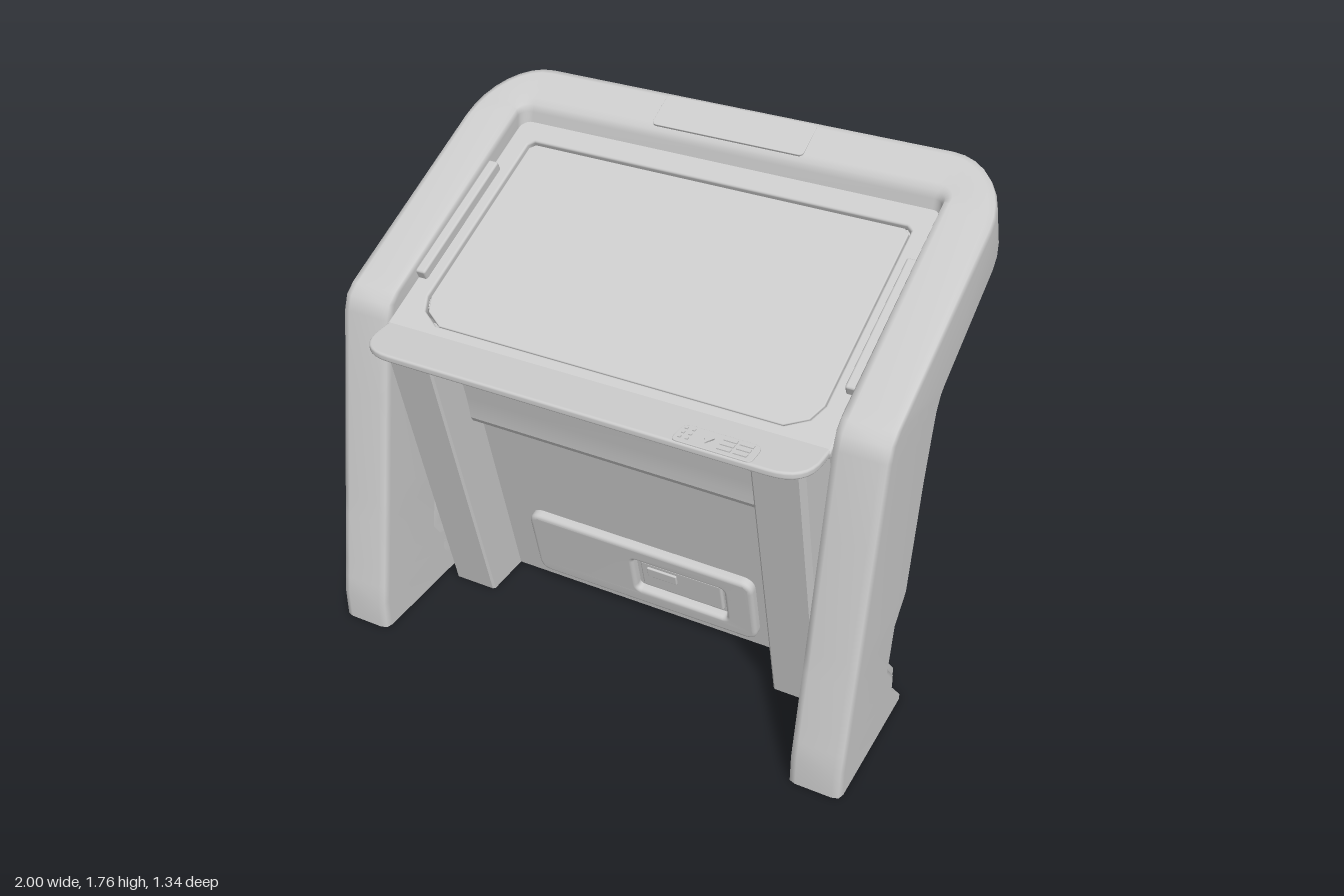
import * as THREE from 'three';
import { toCreasedNormals, mergeVertices } from 'three/addons/utils/BufferGeometryUtils.js';
import { RoundedBoxGeometry } from 'three/addons/geometries/RoundedBoxGeometry.js';

// The housing is a shell open underneath, so both sides show
const material = new THREE.MeshStandardMaterial({ color: 0xcccccc, side: THREE.DoubleSide });

function add(parent, name, geometry, x = 0, y = 0, z = 0) {
  const mesh = new THREE.Mesh(geometry, material);
  mesh.name = name;
  mesh.position.set(x, y, z);
  parent.add(mesh);
  return mesh;
}

function tilted(parent, name, position, rx) {
  const group = new THREE.Group();
  group.name = name;
  group.position.set(...position);
  group.rotation.x = rx;
  parent.add(group);
  return group;
}

const V = (x, y, z) => new THREE.Vector3(x, y, z);
const polygon = (pts) => new THREE.Shape(pts.map(([x, y]) => new THREE.Vector2(x, y)));

// Rounded rectangle; the lower corners may have another radius
function roundRect(x0, y0, x1, y1, r, low = r) {
  const s = new THREE.Shape();
  s.moveTo(x0 + low, y0);
  s.lineTo(x1 - low, y0);
  s.quadraticCurveTo(x1, y0, x1, y0 + low);
  s.lineTo(x1, y1 - r);
  s.quadraticCurveTo(x1, y1, x1 - r, y1);
  s.lineTo(x0 + r, y1);
  s.quadraticCurveTo(x0, y1, x0, y1 - r);
  s.lineTo(x0, y0 + low);
  s.quadraticCurveTo(x0, y0, x0 + low, y0);
  return s;
}

// Plate whose outer face lies at local z = 0; area-weighted normals keep the faces flat
function plate(shape, thickness, bevel) {
  const g = new THREE.ExtrudeGeometry(shape, {
    depth: thickness - 2 * bevel, bevelEnabled: true, bevelThickness: bevel,
    bevelSize: bevel, bevelOffset: -bevel, bevelSegments: 4, curveSegments: 8,
  });
  g.deleteAttribute('normal');
  g.deleteAttribute('uv');
  const merged = mergeVertices(g.translate(0, 0, bevel - thickness));
  merged.computeVertexNormals();
  return merged;
}

// Side profile of (z, y) points extruded from x0 to x1
function sideExtrude(pts, x0, x1) {
  const g = new THREE.ExtrudeGeometry(polygon(pts.map(([z, y]) => [-z, y])), { depth: x1 - x0, bevelEnabled: false });
  return toCreasedNormals(g.rotateY(Math.PI / 2).translate(x0, 0, 0), 0.4);
}

// Soften the four corners of a cross-section
function softRing(corners, r) {
  const out = [];
  corners.forEach((p, i) => {
    const a = p.clone().add(corners[(i + 3) % 4].clone().sub(p).setLength(r));
    const b = p.clone().add(corners[(i + 1) % 4].clone().sub(p).setLength(r));
    const m = a.clone().add(b).multiplyScalar(0.25).addScaledVector(p, 0.5);
    out.push(a, m, b);
  });
  return out;
}

// Skin a series of cross-sections, with an optional flat cap on the last
function loft(rings, capped = false) {
  const n = rings[0].length, count = rings.length, index = [];
  for (let i = 0; i < count - 1; i++) {
    for (let j = 0; j < n; j++) {
      const k = (j + 1) % n, a = i * n + j, b = i * n + k, c = b + n, d = a + n;
      index.push(a, d, c, a, c, b);
    }
  }
  const cap = count * n;
  if (capped) for (let j = 1; j < n - 1; j++) index.push(cap, cap + j + 1, cap + j);
  const g = new THREE.BufferGeometry().setFromPoints([...rings.flat(), ...(capped ? rings[count - 1] : [])]);
  g.setIndex(index);
  g.computeVertexNormals();
  return g;
}

const topY = (z) => 1.3 - 0.46 * (z - 0.42);
const underY = (z) => 1.23 - 0.512 * (z + 0.03);

// Front edge, rear seam and trim edge of a leg, from foot to shoulder, as (z, y)
const legStations = [
  [0.67, 0, 0.1, 0, 0.033, 0],
  [0.67, 0.11, 0.2, 0.115, 0.033, 0.04],
  [0.658, 0.18, 0.2, 0.17, 0.11, 0.13],
  [0.645, 0.255, 0.27, 0.255, 0.2, 0.245],
  [0.613, 0.44, 0.237, 0.44, 0.165, 0.44],
  [0.599, 0.525, 0.153, 0.525, 0.14, 0.525],
  [0.53, 0.93, 0.085, 0.93, 0.065, 0.93],
  [0.48, 1.22, 0.05, 1.08, 0.03, 1.08],
  [0.46, 1.27, 0.03, 1.16, 0.01, 1.15],
  [0.42, 1.3, 0, 1.21, -0.02, 1.19],
  [0.36, 1.328, -0.03, 1.23, -0.05, 1.215],
];

// Arch from one foot over the top to the other; the trim is its inset lip
function arch(isTrim) {
  const outer = isTrim ? 0.94 : 1, inner = 0.81, r = isTrim ? 0.008 : 0.03;
  const corners = legStations.map(([fz, fy, bz, by, tz, ty]) => {
    const f = isTrim ? [fz + (bz - fz) * 0.8, fy + (by - fy) * 0.8] : [fz, fy];
    const b = isTrim ? [tz, ty] : [bz, by];
    return [V(outer, f[1], f[0]), V(inner, f[1], f[0]), V(inner, b[1], b[0]), V(outer, b[1], b[0])];
  });
  const rx = outer - 0.77, rz = isTrim ? 0.2 : 0.268;
  const top = isTrim ? (z) => underY(z - 0.09) + 0.05 : topY;
  const low = (z) => underY(z) - (isTrim ? 0.022 : 0);
  const shift = isTrim ? 0.09 : 0;
  for (let i = 0; i <= 8; i++) {
    const t = (i / 8) * Math.PI / 2, c = Math.cos(t), s = Math.sin(t);
    const xo = 0.77 + rx * c, zo = -0.32 - rz * s;
    const xi = 0.77 + 0.04 * c, zi = -0.39 - 0.04 * s;
    corners.push([V(xo, top(zo), zo - shift), V(xi, top(zi) - 0.012 * s, zi - shift * 0.2),
      V(xi, low(zi + 0.03), zi + 0.03), V(xo, low(zo - 0.09), zo - 0.09)]);
  }
  const half = corners.map((c) => softRing(c, r));
  const mirrored = half.map((ring) => ring.map((p) => V(-p.x, p.y, p.z))).reverse();
  return loft([...half, ...mirrored]);
}

// Rear cover: rounded edge, flat border, then a shallow recessed field
function rearCover() {
  const ring = (inset, z, x, y0, y1, r) => roundRect(-x + inset, y0 + inset, x - inset, y1 - inset, r)
    .getPoints(8).slice(0, -1).reverse().map((p) => V(p.x, p.y, z));
  const R = 0.05, rings = [ring(0, -0.08, 0.81, -0.05, 1.47, 0.02)];
  for (let i = 0; i <= 4; i++) {
    const a = (i / 4) * Math.PI / 2;
    rings.push(ring(R * (1 - Math.cos(a)), -R * (1 - Math.sin(a)), 0.81, -0.05, 1.47, 0.02));
  }
  for (const [inset, z] of [[0, 0], [0.01, -0.004], [0.02, -0.016], [0.025, -0.02]]) rings.push(ring(inset, z, 0.61, 0.31, 1.2, 0.06));
  const g = loft(rings, true).rotateY(Math.PI).rotateX(-0.21).translate(0, 0, -0.11);
  const p = g.attributes.position;
  for (let i = 0; i < p.count; i++) p.setY(i, Math.max(0, p.getY(i)));
  return g;
}

export function createModel() {
  const model = new THREE.Group();
  model.name = 'console';

  // Outer arch, its trim and the flush button on the crossbar
  add(model, 'archFrame', arch(false));
  add(model, 'archTrim', toCreasedNormals(arch(true), 0.5));
  const button = tilted(model, 'crossbarButton', [0, topY(-0.507) - 0.002, -0.507], Math.atan(0.5) - Math.PI / 2);
  add(button, 'buttonFace', plate(roundRect(-0.29, -0.07, 0.29, 0.07, 0.02), 0.02, 0.002));

  // Body between the legs, with an overhanging upper front
  const body = [[V(0.81, 0, 0.1), V(-0.81, 0, 0.1), V(-0.81, 0, -0.059), V(0.81, 0, -0.059)],
    [V(0.81, 1.2, 0.388), V(-0.81, 1.2, 0.388), V(-0.81, 1.46, -0.37), V(0.81, 1.46, -0.37)]];
  add(model, 'body', toCreasedNormals(loft(body), 0.4));
  add(model, 'upperFront', sideExtrude([[0.25, 0.81], [0.345, 0.81], [0.357, 0.83], [0.362, 0.87],
    [0.372, 0.92], [0.44, 1.195], [0.3, 1.195]], -0.6, 0.6));
  add(model, 'rearCover', rearCover());

  for (const s of [1, -1]) {
    // Front pillars, leaning forwards
    const section = [[0.77, -0.22], [0.768, -0.018], [0.75, 0], [0.593, 0], [0.585, -0.008], [0.585, -0.22]];
    if (s < 0) section.reverse();
    const pillar = [0, 1.195].map((y) => section.map(([x, z]) => V(s * x, y, z + 0.29 + 0.24 * y)));
    add(model, 'frontPillar', toCreasedNormals(loft(pillar), 0.3));
    // Cover over the middle of the rear seam
    const seam = [[0.2, 0.5], [0.138, 0.53], [0.07, 0.91], [0.13, 0.93]];
    add(model, 'seamCover', s > 0 ? sideExtrude(seam, 0.81, 0.975) : sideExtrude(seam, -0.975, -0.81));
  }

  // Sloping control panel with inset screen and side clips
  const desk = tilted(model, 'controlPanel', [0, 1.216, 0.47], Math.atan(0.443) - Math.PI / 2);
  const deskShape = roundRect(-0.815, -0.02, 0.815, 1.02, 0.02, 0.01);
  const opening = (d) => polygon([[-0.64 + d, 0.035 + d], [0.64 - d, 0.035 + d], [0.71 - d, 0.08 + d], [0.735 - d, 0.14 + d], [0.735 - d, 0.87 - d],
    [0.715 - d, 0.89 - d], [-0.715 + d, 0.89 - d], [-0.735 + d, 0.87 - d], [-0.735 + d, 0.14 + d], [-0.71 + d, 0.08 + d]]);
  deskShape.holes.push(opening(0));
  add(desk, 'panelSurround', plate(deskShape, 0.03, 0.008));
  add(desk, 'screen', plate(opening(0.006), 0.03, 0.004), 0, 0, -0.01);
  add(desk, 'panelBase', new THREE.BoxGeometry(1.62, 0.9, 0.06), 0, 0.56, -0.06);
  for (const s of [1, -1]) add(desk, 'sideClip', new RoundedBoxGeometry(0.04, 0.535, 0.05, 2, 0.008), s * 0.795, 0.47, 0.01);

  // Front ledge with its small key cluster
  const ledge = tilted(model, 'ledge', [0, 1.215, 0], -Math.PI / 2);
  add(ledge, 'ledgePlate', plate(roundRect(-0.812, -0.655, 0.812, -0.4, 0.005, 0.13), 0.026, 0.008));
  add(ledge, 'keyPad', plate(roundRect(0.36, -0.65, 0.63, -0.555, 0.035, 0.02), 0.012, 0.002), 0, 0, 0.004);
  for (let row = 0; row < 3; row++) {
    for (const x of [0.53, 0.585]) add(ledge, 'key', new THREE.BoxGeometry(0.045, 0.015, 0.008), x, -0.577 - row * 0.025, 0.004);
    for (const x of [0.38, 0.405]) add(ledge, 'keyDot', new THREE.BoxGeometry(0.01, 0.01, 0.008), x, -0.577 - row * 0.025, 0.004);
  }
  const knob = add(ledge, 'knob', new THREE.CylinderGeometry(0.02, 0.02, 0.01, 3), 0.465, -0.605, 0.004);
  knob.rotation.x = Math.PI / 2;

  // Drawer on the lower front with a recessed grip
  const drawer = tilted(model, 'drawer', [0, 0, 0.1], Math.atan(0.24));
  const front = roundRect(-0.46, 0.062, 0.455, 0.378, 0.05);
  front.holes.push(roundRect(-0.03, 0.135, 0.34, 0.305, 0.02));
  add(drawer, 'drawerFront', plate(front, 0.05, 0.016), 0, 0, 0.035);
  add(drawer, 'grip', new RoundedBoxGeometry(0.33, 0.135, 0.02, 2, 0.008), 0.155, 0.22, 0.004);
  add(drawer, 'gripLatch', new RoundedBoxGeometry(0.12, 0.045, 0.012, 2, 0.004), 0.08, 0.245, 0.016);

  return model;
}
